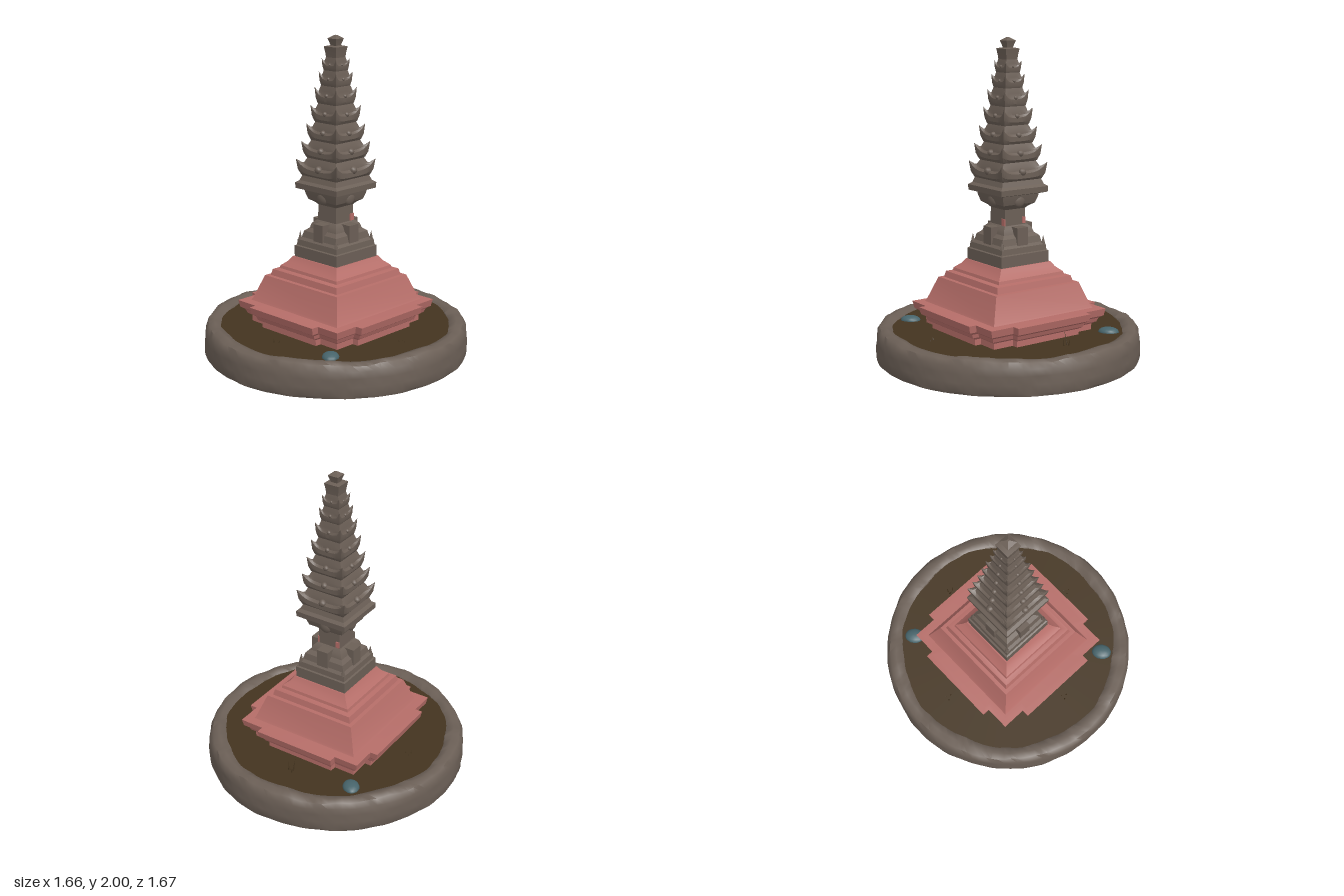
import * as THREE from 'three';
import { toCreasedNormals } from 'three/addons/utils/BufferGeometryUtils.js';

const mat = (name, color) => {
  const m = new THREE.MeshStandardMaterial({ color });
  m.name = name;
  return m;
};

// Skin a stack of equal-length closed rings, with a fan closing each end
function loft(rings, crease = 0.5) {
  const n = rings[0].length, pos = [], idx = [];
  rings.forEach(r => r.forEach(p => pos.push(...p)));
  for (let i = 0; i < rings.length - 1; i++) {
    for (let j = 0; j < n; j++) {
      const k = (j + 1) % n, a = i * n + j, d = i * n + k;
      idx.push(a, a + n, d + n, a, d + n, d);
    }
  }
  const cap = (start, top) => {
    const c = pos.length / 3;
    let y = 0;
    for (let j = 0; j < n; j++) y += pos[(start + j) * 3 + 1] / n;
    pos.push(0, y, 0);
    for (let j = 0; j < n; j++) {
      const a = start + j, b = start + (j + 1) % n;
      if (top) idx.push(c, b, a); else idx.push(c, a, b);
    }
  };
  cap(0, false);
  cap((rings.length - 1) * n, true);
  const g = new THREE.BufferGeometry();
  g.setAttribute('position', new THREE.Float32BufferAttribute(pos, 3));
  g.setIndex(idx);
  return toCreasedNormals(g, crease);
}

// Square ring; lift raises the corners, sag pulls in the middle of each side
function squareRing(h, y, lift = 0, sag = 0, seg = 1) {
  const ring = [];
  for (let s = 0; s < 4; s++) {
    const c = Math.round(Math.cos(s * Math.PI / 2)), q = Math.round(Math.sin(s * Math.PI / 2));
    for (let i = 0; i < seg; i++) {
      const t = -1 + 2 * i / seg, k = Math.abs(t) ** 4;
      const u = h * (1 - sag * (1 - k)), v = t * h;
      ring.push([c * u - q * v, y + lift * k, q * u + c * v]);
    }
  }
  return ring;
}
const squareLoft = profile => loft(profile.map(([h, y]) => squareRing(h, y)));

// Square ring with a wide shallow projection on each side
function crossRing(h, y) {
  const a = h, b = h * 0.9, w = h * 0.57, ring = [];
  for (let s = 0; s < 4; s++) {
    const c = Math.round(Math.cos(s * Math.PI / 2)), q = Math.round(Math.sin(s * Math.PI / 2));
    for (const [u, v] of [[b, -b], [b, -w], [a, -w], [a, w], [b, w]]) {
      ring.push([c * u - q * v, y, q * u + c * v]);
    }
  }
  return ring;
}

export function createModel() {
  const model = new THREE.Group();
  const stone = mat('weathered stone', 0x6b5f56);
  const pink = mat('pink brick', 0xb56d68);
  const soil = mat('soil', 0x44341f);
  const blue = mat('blue rock', 0x47646b);
  const add = (name, geo, material, parent = model) => {
    const m = new THREE.Mesh(geo, material);
    m.name = name;
    parent.add(m);
    return m;
  };
  const bump = (a, k) => 0.5 * Math.sin(7 * a + k) + 0.3 * Math.sin(17 * a + 2.3 * k) + 0.3 * Math.sin(31 * a + 4 * k);

  // Rough round slab with a raised rim
  const rim = [[0.822, 0, 0], [0.83, 0.02, 0], [0.832, 0.07, 0], [0.828, 0.12, 0], [0.826, 0.165, 0.004],
    [0.805, 0.198, 0.01], [0.765, 0.206, 0.012], [0.725, 0.195, 0.007], [0.70, 0.15, 0]];
  add('roundSlab', loft(rim.map(([r, y, wave], i) => {
    const rough = i > 6 ? 0.012 : 0.006, ring = [];
    for (let j = 0; j < 120; j++) {
      const a = j / 120 * Math.PI * 2, R = r + rough * bump(a, i * 0.8);
      ring.push([R * Math.cos(a), y + wave * bump(a, 1 + i * 0.2), R * Math.sin(a)]);
    }
    return ring;
  }), 0.9), stone);

  // Earth inside the rim
  const earth = add('earth', new THREE.CylinderGeometry(0.735, 0.735, 0.02, 64), soil);
  earth.position.y = 0.178;

  // Pink stepped foundation
  add('plinth', loft([[0.415, 0.18], [0.415, 0.225], [0.44, 0.24], [0.45, 0.265], [0.475, 0.28],
    [0.485, 0.325], [0.44, 0.328]].map(p => crossRing(...p))), pink);
  add('slopedBody', squareLoft([[0.385, 0.32], [0.37, 0.34], [0.315, 0.49], [0.29, 0.492], [0.28, 0.53],
    [0.25, 0.537], [0.245, 0.555], [0.21, 0.585], [0.19, 0.615]]), pink);

  // Stone pedestal and neck
  add('pedestal', squareLoft([[0.182, 0.605], [0.182, 0.685], [0.172, 0.69], [0.168, 0.725], [0.15, 0.74],
    [0.14, 0.78], [0.115, 0.80], [0.105, 0.83], [0.085, 0.85]]), stone);
  add('neck', squareLoft([[0.078, 0.84], [0.076, 0.95], [0.09, 0.965], [0.12, 0.985], [0.132, 1.02],
    [0.14, 1.06]]), stone);
  for (let s = 0; s < 4; s++) {
    const side = new THREE.Group();
    side.name = 'neckSide';
    side.rotation.y = s * Math.PI / 2;
    model.add(side);
    add('pilaster', new THREE.BoxGeometry(0.08, 0.16, 0.09), stone, side).position.set(0, 0.765, 0.112);
    const boss = add('boss', new THREE.SphereGeometry(0.045, 16, 10), stone, side);
    boss.position.set(0, 1.01, 0.115);
    boss.scale.z = 0.5;
    const horn = add('cornerHorn', new THREE.ConeGeometry(0.018, 0.06, 4), stone, side);
    horn.position.set(0.157, 0.75, 0.157);
  }
  // Exposed brick patches
  add('frontPatch', new THREE.BoxGeometry(0.035, 0.05, 0.008), pink).position.set(0.062, 0.868, 0.079);
  add('sidePatch', new THREE.BoxGeometry(0.008, 0.04, 0.025), pink).position.set(0.079, 0.875, -0.064);

  // Broad plate under the spire
  add('spirePlate', squareLoft([[0.14, 1.045], [0.176, 1.055], [0.178, 1.09], [0.158, 1.105],
    [0.145, 1.14]]), stone);

  // Tiers with upturned corners: [eave half-width, base y, height]
  const tiers = [[0.174, 1.12, 0.12], [0.15, 1.235, 0.115], [0.128, 1.345, 0.115], [0.109, 1.46, 0.115],
    [0.091, 1.57, 0.115], [0.073, 1.68, 0.1], [0.06, 1.775, 0.085]];
  tiers.forEach(([h, y, H]) => {
    const rings = [[0.76, 0, 0, 0], [0.86, 0.16, 0, 0], [0.95, 0.25, 0.2, 0.03], [1, 0.5, 0.5, 0.08],
      [0.86, 0.62, 0.2, 0.04], [0.8, 0.8, 0, 0], [0.7, 1.08, 0, 0]];
    const tier = new THREE.Group();
    tier.name = 'spireTier';
    model.add(tier);
    add('upturnedEave', loft(rings.map(([k, t, lift, sag]) => squareRing(h * k, y + t * H, lift * H, sag, 12))), stone, tier);
    for (let s = 0; s < 4; s++) {
      const a = s * Math.PI / 2;
      const knob = add('eaveKnob', new THREE.SphereGeometry(h * 0.14, 8, 6), stone, tier);
      knob.position.set(Math.sin(a) * h * 0.86, y + 0.58 * H, Math.cos(a) * h * 0.86);
    }
  });

  // Crown and finial
  add('crown', squareLoft([[0.04, 1.85], [0.044, 1.89], [0.051, 1.932], [0.03, 1.937]]), stone);
  add('finial', squareLoft([[0.021, 1.93], [0.024, 1.945], [0.035, 1.98], [0.006, 2.0]]), stone);

  // Two half-buried rocks on opposite corners
  for (const s of [-1, 1]) {
    const rock = add('rock', new THREE.IcosahedronGeometry(1, 2), blue);
    rock.scale.set(0.065, 0.03, 0.052);
    rock.rotation.y = 0.7;
    rock.position.set(0.48 * s, 0.188, -0.425 * s);
  }

  // Dry twigs in the earth on each side
  [[0.55, -0.04, 0.09], [-0.53, 0.01, 0.03], [0, -0.56, 0.025], [0, 0.55, 0.02]].forEach(([x, z, h]) => {
    for (let i = 0; i < 3; i++) {
      const twig = add('twig', new THREE.ConeGeometry(0.006, h * (1 - i * 0.25), 4), soil);
      twig.position.set(x + (i - 1) * 0.018, 0.185 + h * (1 - i * 0.25) / 2, z + (i % 2) * 0.03);
      twig.rotation.z = 0.3 * (1 - i);
    }
  });
  return model;
}
